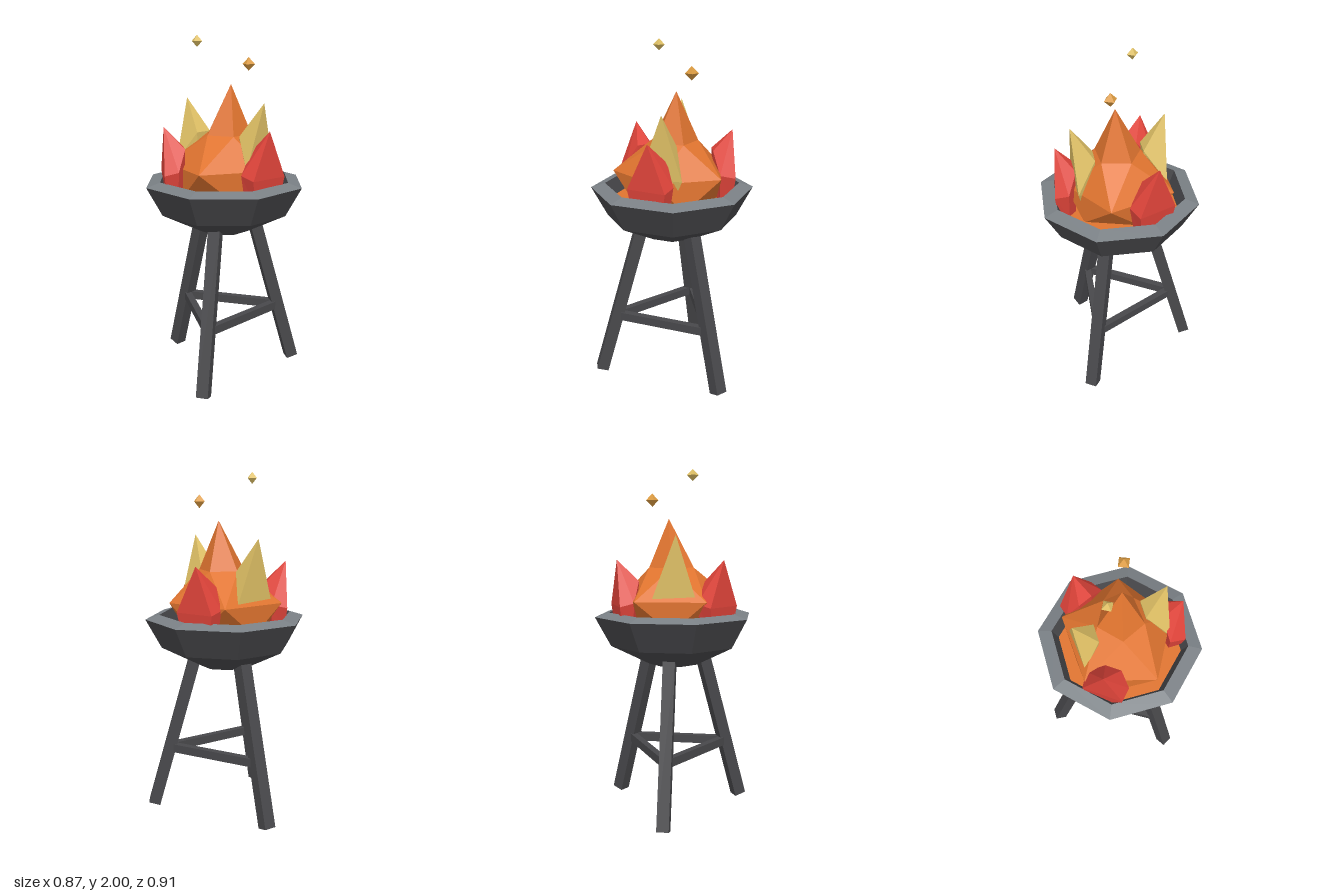
import * as THREE from 'three';

const mat = (name, color) => Object.assign(new THREE.MeshStandardMaterial({ color }), { name });
const CZ = 0.025; // z of the bowl axis

// Flat facets: split the vertices and recompute the normals
function faceted(geo) {
  const g = geo.index ? geo.toNonIndexed() : geo;
  g.computeVertexNormals();
  return g;
}

// Joins rings of [x, y, z] points, listed bottom to top, with flat triangles
function loft(rings) {
  const pos = [];
  for (let i = 0; i < rings.length - 1; i++) {
    const a = rings[i], b = rings[i + 1], n = a.length;
    for (let j = 0; j < n; j++) {
      const k = (j + 1) % n;
      pos.push(...a[j], ...a[k], ...b[j]);
      if (b[k] !== b[j]) pos.push(...a[k], ...b[k], ...b[j]);
    }
  }
  const g = new THREE.BufferGeometry();
  g.setAttribute('position', new THREE.Float32BufferAttribute(pos, 3));
  return faceted(g);
}

// Eight-sided lathe; radii are measured to the middle of the flat sides
function octagon(profile) {
  const pts = profile.map(([r, y]) => new THREE.Vector2(r / Math.cos(Math.PI / 8), y));
  return faceted(new THREE.LatheGeometry(pts, 8, Math.PI / 8));
}

// Tongue of fire: tapered foot, uneven shoulder ring and a pointed tip
function tongue(ring, tip, footY) {
  const cx = ring.reduce((s, p) => s + p[0], 0) / ring.length;
  const cz = ring.reduce((s, p) => s + p[2], 0) / ring.length;
  const foot = ring.map(([x, , z]) => [cx + (x - cx) * 0.8, footY, cz + (z - cz) * 0.8]);
  return loft([foot, ring, ring.map(() => tip)]);
}

export function createModel() {
  const iron = mat('iron', 0x48484b);
  const rimGrey = mat('rimGrey', 0x7a8085);
  const orange = mat('orange', 0xe0742f);
  const red = mat('red', 0xe0443a);
  const yellow = mat('yellow', 0xdfc065);
  const amber = mat('amber', 0xdd9c42);

  const root = new THREE.Group();
  root.name = 'brazier';
  const add = (name, geo, material, parent = root) => {
    const m = new THREE.Mesh(geo, material);
    m.name = name;
    parent.add(m);
    return m;
  };
  const pivot = (name, angle) => {
    const g = new THREE.Group();
    g.name = name;
    g.position.z = CZ;
    g.rotation.y = angle;
    root.add(g);
    return g;
  };

  // Bowl, rim and bed of embers
  const bowl = pivot('bowl', 0);
  add('bowlOutside', octagon([[0, 0.885], [0.14, 0.885], [0.35, 1.0], [0.435, 1.17]]), iron, bowl);
  add('rim', octagon([[0.435, 1.17], [0.36, 1.195]]), rimGrey, bowl);
  add('bowlInside', octagon([[0.36, 1.195], [0.328, 1.11]]), iron, bowl);
  add('embers', octagon([[0.328, 1.11], [0, 1.11]]), orange, bowl);

  // Three splayed legs joined by a triangle of braces
  const top = new THREE.Vector3(0, 0.94, 0.18), foot = new THREE.Vector3(0, 0.0095, 0.44);
  const span = top.clone().sub(foot);
  for (let i = 0; i < 3; i++) {
    const side = pivot('legSet', Math.PI / 3 + i * Math.PI * 2 / 3);
    const leg = add('leg', new THREE.BoxGeometry(0.07, span.length(), 0.07), iron, side);
    leg.position.copy(top).add(foot).multiplyScalar(0.5);
    leg.rotation.x = Math.atan2(span.z, span.y);
    const braceSide = pivot('braceSet', i * Math.PI * 2 / 3);
    const brace = add('brace', new THREE.BoxGeometry(0.57, 0.05, 0.04), iron, braceSide);
    brace.position.set(0, 0.37, 0.17);
  }

  // Main flame: staggered five-point rings rising to a tip
  const level = (y, pts) => pts.map(([x, z]) => [x, y, z]);
  const tip = [0.034, 1.73, 0.045];
  add('mainFlame', loft([
    level(1.1, [[-0.13, 0.24], [0.16, 0.24], [0.24, -0.07], [-0.02, -0.24], [-0.26, -0.05]]),
    level(1.27, [[0.02, 0.33], [0.327, 0.11], [0.185, -0.26], [-0.215, -0.235], [-0.315, 0.15]])
      .map((p) => p),
    level(1.45, [[0.112, 0.133], [0.139, -0.028], [0, -0.1], [-0.117, 0.01], [-0.05, 0.15]]),
    Array(5).fill(tip),
  ]), orange);

  // Three red tongues around the edge
  const redGeo = tongue([
    [0.107, 1.24, 0.369], [0.126, 1.26, 0.292], [0.07, 1.38, 0.243],
    [-0.02, 1.38, 0.235], [-0.124, 1.26, 0.257], [-0.123, 1.24, 0.348],
  ], [0, 1.5, 0.35], 1.1);
  for (let i = 0; i < 3; i++) add('redFlame', redGeo, red, pivot('redFlameSet', i * Math.PI * 2 / 3));

  // Two yellow tongues, front and back
  const yellowGeo = tongue([
    [0.155, 1.28, 0.24], [0.083, 1.45, 0.138], [-0.02, 1.45, 0.14], [-0.09, 1.28, 0.265],
  ], [0.045, 1.64, 0.265], 1.23);
  for (let i = 0; i < 2; i++) add('yellowFlame', yellowGeo, yellow, pivot('yellowFlameSet', i * Math.PI));

  // Floating sparks
  const spark = (x, y, z, r, material, turn) => {
    const s = add('spark', new THREE.OctahedronGeometry(r), material);
    s.position.set(x, y, z);
    s.rotation.y = turn;
  };
  spark(-0.118, 1.967, -0.07, 0.033, yellow, 0.3);
  spark(0.138, 1.838, 0.083, 0.038, amber, 0.4);

  return root;
}
